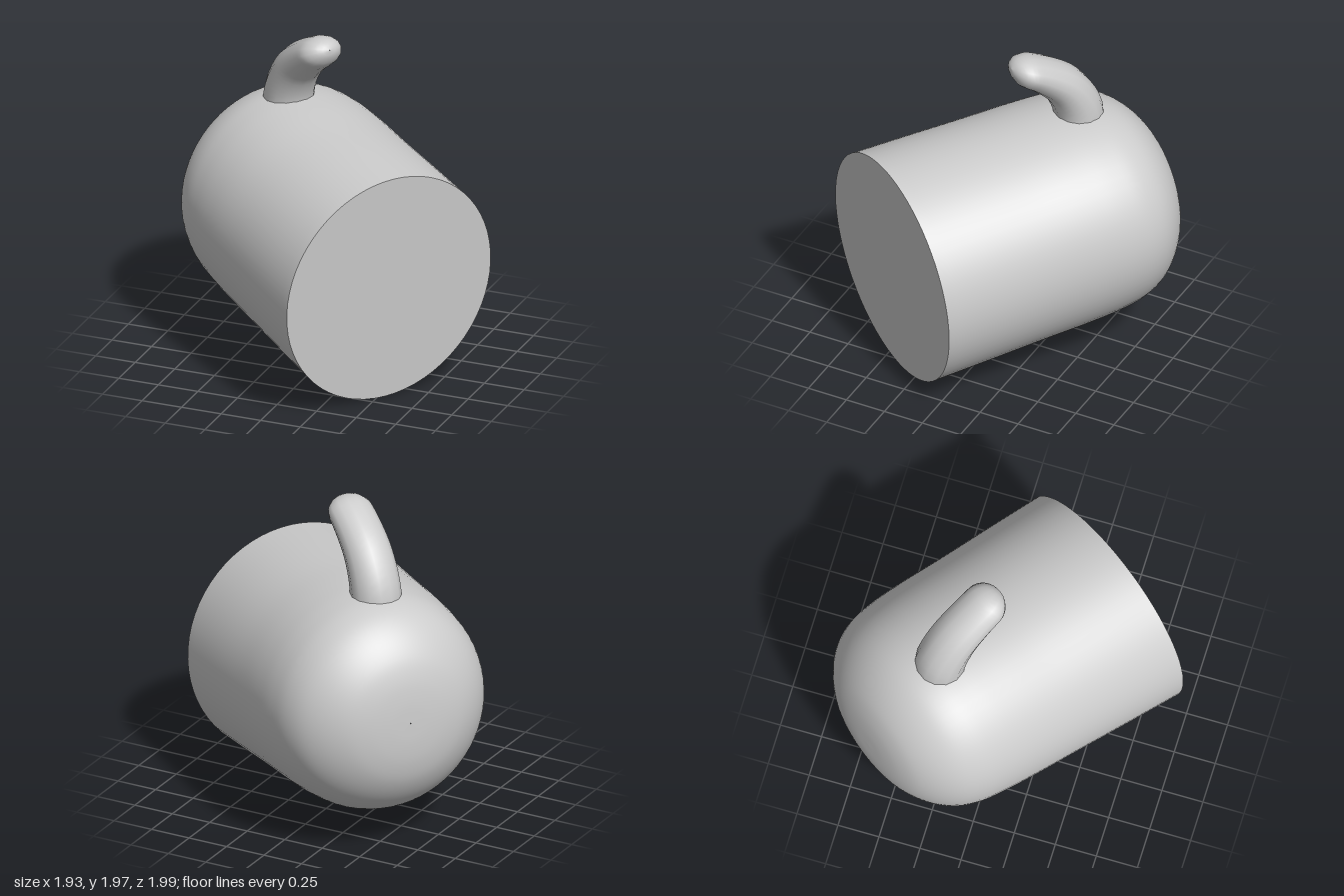
import * as THREE from 'three';

const V = (x, y, z) => new THREE.Vector3(x, y, z);
const material = new THREE.MeshStandardMaterial({ color: 0xcccccc });

// Smooth skin over rings; each ring has a centre c and two half-axes a, b
function loft(rings, sides) {
  const positions = [], index = [];
  rings.forEach(({ c, a, b }, i) => {
    for (let j = 0; j < sides; j++) {
      const t = (j / sides) * Math.PI * 2;
      const p = c.clone().addScaledVector(a, Math.cos(t)).addScaledVector(b, Math.sin(t));
      positions.push(p.x, p.y, p.z);
      if (i === rings.length - 1) continue;
      const k = (j + 1) % sides, m = i * sides, n = m + sides;
      index.push(m + j, n + j, m + k, m + k, n + j, n + k);
    }
  });
  const g = new THREE.BufferGeometry();
  g.setAttribute('position', new THREE.Float32BufferAttribute(positions, 3));
  g.setIndex(index);
  g.computeVertexNormals();
  return g;
}

function addMesh(parent, name, geometry) {
  const mesh = new THREE.Mesh(geometry, material);
  mesh.name = name;
  parent.add(mesh);
}

export function createModel() {
  const model = new THREE.Group();
  const yaw = 0.965;

  // Body: round sections running back from the flat face, drifting sideways and up
  const body = new THREE.Group();
  body.name = 'body';
  body.position.set(0.57, 0.709, 0.422);
  body.rotation.set(0.06, yaw, 0, 'YXZ');
  model.add(body);

  // depth, radius, share of the drift
  const profile = new THREE.CatmullRomCurve3([
    [0, 0.708, 0], [0.35, 0.7, 0.27], [0.7, 0.69, 0.54], [1.0, 0.684, 0.78], [1.2, 0.672, 0.92],
    [1.35, 0.648, 0.98], [1.47, 0.597, 1], [1.57, 0.51, 1], [1.65, 0.39, 1],
    [1.69, 0.27, 1], [1.708, 0.14, 1], [1.712, 0.002, 1],
  ].map((p) => V(...p)));
  const rings = profile.getPoints(55).map(({ x: s, y: r, z: k }) => ({
    c: V(0.1 * k, 0.06 * k, -s), a: V(r, 0, 0), b: V(0, r, 0),
  }));
  addMesh(body, 'bodyShell', loft(rings, 64));
  addMesh(body, 'frontFace', new THREE.CircleGeometry(0.708, 64));

  // Horn: bent, tapering and blunt, leaning toward the flat face
  const horn = new THREE.Group();
  horn.name = 'horn';
  horn.rotation.y = yaw;
  model.add(horn);

  const path = new THREE.CatmullRomCurve3([
    V(0.05, 1.36, -0.48), V(0.05, 1.52, -0.475), V(0.05, 1.7, -0.385),
    V(0.05, 1.83, -0.235), V(0.05, 1.905, -0.1), V(0.05, 1.93, -0.04),
  ]);
  const steps = 24;
  const hornRings = [];
  for (let i = 0; i <= steps; i++) {
    const t = 1 - (1 - i / steps) ** 1.5;
    const d = path.getTangentAt(t);
    // Rounded end over the last part of the path
    const e = THREE.MathUtils.clamp((t - 0.84) / 0.16, 0, 0.9999);
    const round = Math.sqrt(1 - e * e);
    const wide = (0.155 - 0.02 * t) * round;
    const thick = (0.162 - 0.075 * t) * round;
    hornRings.push({
      c: path.getPointAt(t), a: V(wide, 0, 0), b: V(0, -d.z * thick, d.y * thick),
    });
  }
  addMesh(horn, 'hornSkin', loft(hornRings, 14));

  return model;
}
